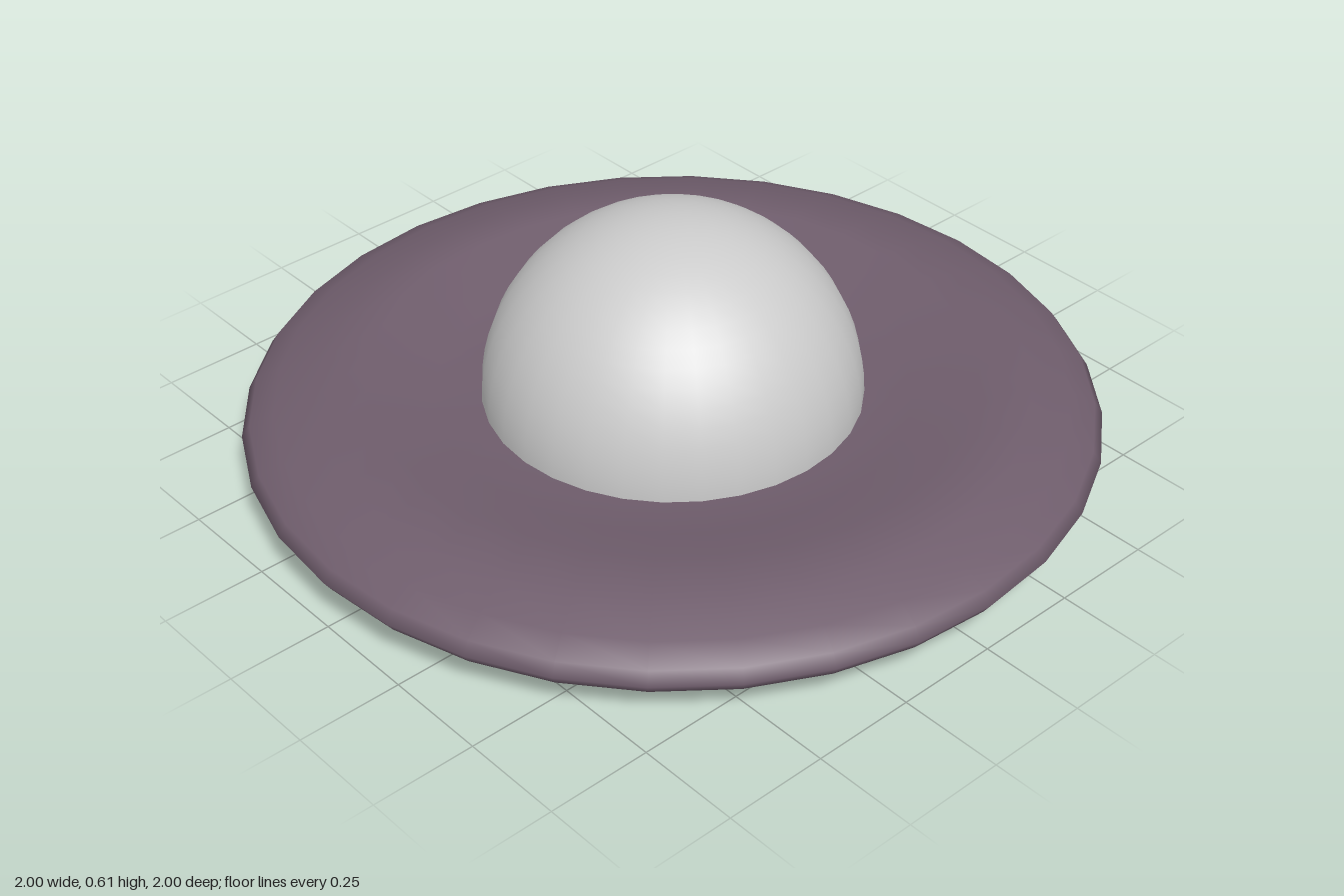
import * as THREE from 'three';

const SEGMENTS = 32;
const RIM_Y = 0.12;        // height of the widest ring
const HALF_HEIGHT = 0.145; // half height of the flattened ellipsoid
const FLOOR_Y = 0.162;     // height of the sunken top

export function createModel() {
  const model = new THREE.Group();
  const purple = new THREE.MeshStandardMaterial({ color: 0x6f5d6c, side: THREE.DoubleSide });
  const grey = new THREE.MeshStandardMaterial({ color: 0xcccccc, side: THREE.DoubleSide });

  const add = (name, geometry, material, y = 0) => {
    const mesh = new THREE.Mesh(geometry, material);
    mesh.name = name;
    mesh.position.y = y;
    model.add(mesh);
  };

  // Saucer: flattened ellipsoid with a flat underside and a shallow sunken top
  const profile = [[0, 0], [0.2, 0], [0.383, 0]].map(([r, y]) => new THREE.Vector2(r, y));
  for (let i = -5; i <= 4; i++) {
    const a = (i * Math.PI) / 16;
    profile.push(new THREE.Vector2(Math.cos(a), Math.max(0, RIM_Y + HALF_HEIGHT * Math.sin(a))));
  }
  for (const r of [0.556, 0.383, 0.195, 0]) profile.push(new THREE.Vector2(r, FLOOR_Y));
  add('saucer', new THREE.LatheGeometry(profile, SEGMENTS), purple);

  // Hemispherical dome resting on the sunken top
  add('dome', new THREE.SphereGeometry(0.446, SEGMENTS, 16, 0, Math.PI * 2, 0, Math.PI / 2), grey, 0.163);

  return model;
}
